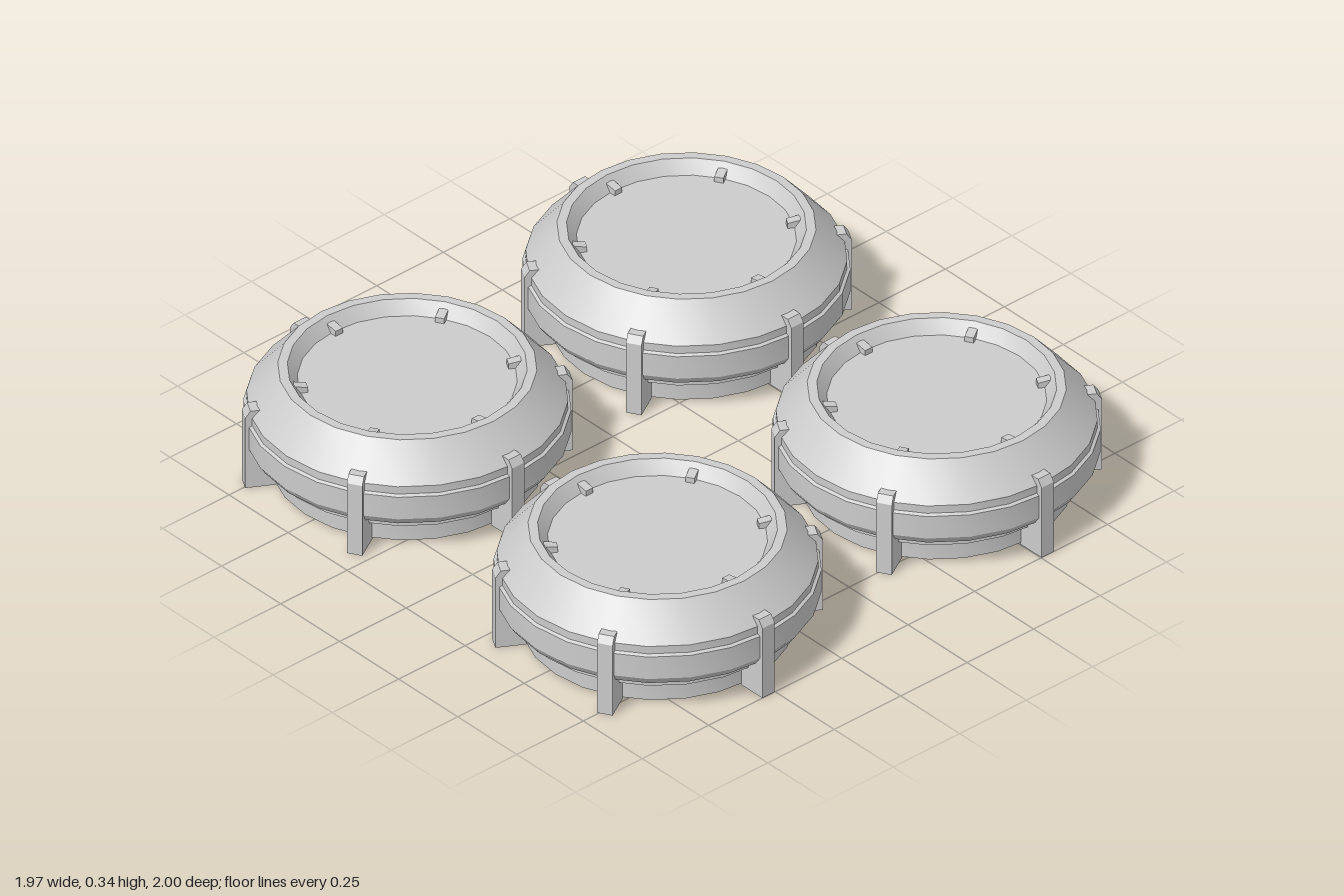
import * as THREE from 'three';
import { toCreasedNormals } from 'three/addons/utils/BufferGeometryUtils.js';

const material = new THREE.MeshStandardMaterial({ color: 0xcccccc });
const toPoints = (list) => list.map(([x, y]) => new THREE.Vector2(x, y));

// Plate cut in the radius/height plane, turned so its radius runs along +z
function radialPlate(outline, width) {
  const geometry = new THREE.ExtrudeGeometry(new THREE.Shape(toPoints(outline)), {
    depth: width, bevelEnabled: false,
  });
  geometry.translate(0, 0, -width / 2);
  geometry.rotateY(-Math.PI / 2);
  return geometry;
}

// Drum: base, stepped underside, raised band, sloped shoulder, rim and sunken top
const drumGeometry = toCreasedNormals(new THREE.LatheGeometry(toPoints([
  [0, 0.006], [0.385, 0.006], [0.385, 0.068], [0.415, 0.075], [0.415, 0.1],
  [0.445, 0.105], [0.462, 0.13], [0.462, 0.205], [0.453, 0.21], [0.453, 0.235],
  [0.365, 0.335], [0.338, 0.335], [0.31, 0.295], [0, 0.295],
]), 24), 0.45);

// Wide outer leg
const legGeometry = radialPlate([
  [0.38, 0], [0.47, 0], [0.47, 0.238], [0.455, 0.26], [0.38, 0.26],
], 0.046);

// Narrow bar along the underside
const footGeometry = radialPlate([
  [0.27, 0], [0.4, 0], [0.4, 0.03], [0.27, 0.03],
], 0.027);

// Small clip inside the rim
const clipGeometry = radialPlate([
  [0.288, 0.28], [0.345, 0.28], [0.345, 0.322], [0.288, 0.312],
], 0.027);

function addMesh(parent, geometry, name) {
  const mesh = new THREE.Mesh(geometry, material);
  mesh.name = name;
  parent.add(mesh);
}

function createDrum() {
  const drum = new THREE.Group();
  drum.name = 'drum';
  addMesh(drum, drumGeometry, 'drumBody');
  // Six ribs around the drum
  for (let i = 0; i < 6; i++) {
    const rib = new THREE.Group();
    rib.name = 'rib';
    rib.rotation.y = (i * Math.PI) / 3;
    addMesh(rib, legGeometry, 'outerLeg');
    addMesh(rib, footGeometry, 'footBar');
    addMesh(rib, clipGeometry, 'rimClip');
    drum.add(rib);
  }
  return drum;
}

export function createModel() {
  const model = new THREE.Group();
  model.name = 'drumSet';
  // Four drums in a square
  for (const x of [-0.525, 0.525]) {
    for (const z of [-0.53, 0.53]) {
      const drum = createDrum();
      drum.position.set(x, 0, z);
      model.add(drum);
    }
  }
  return model;
}
